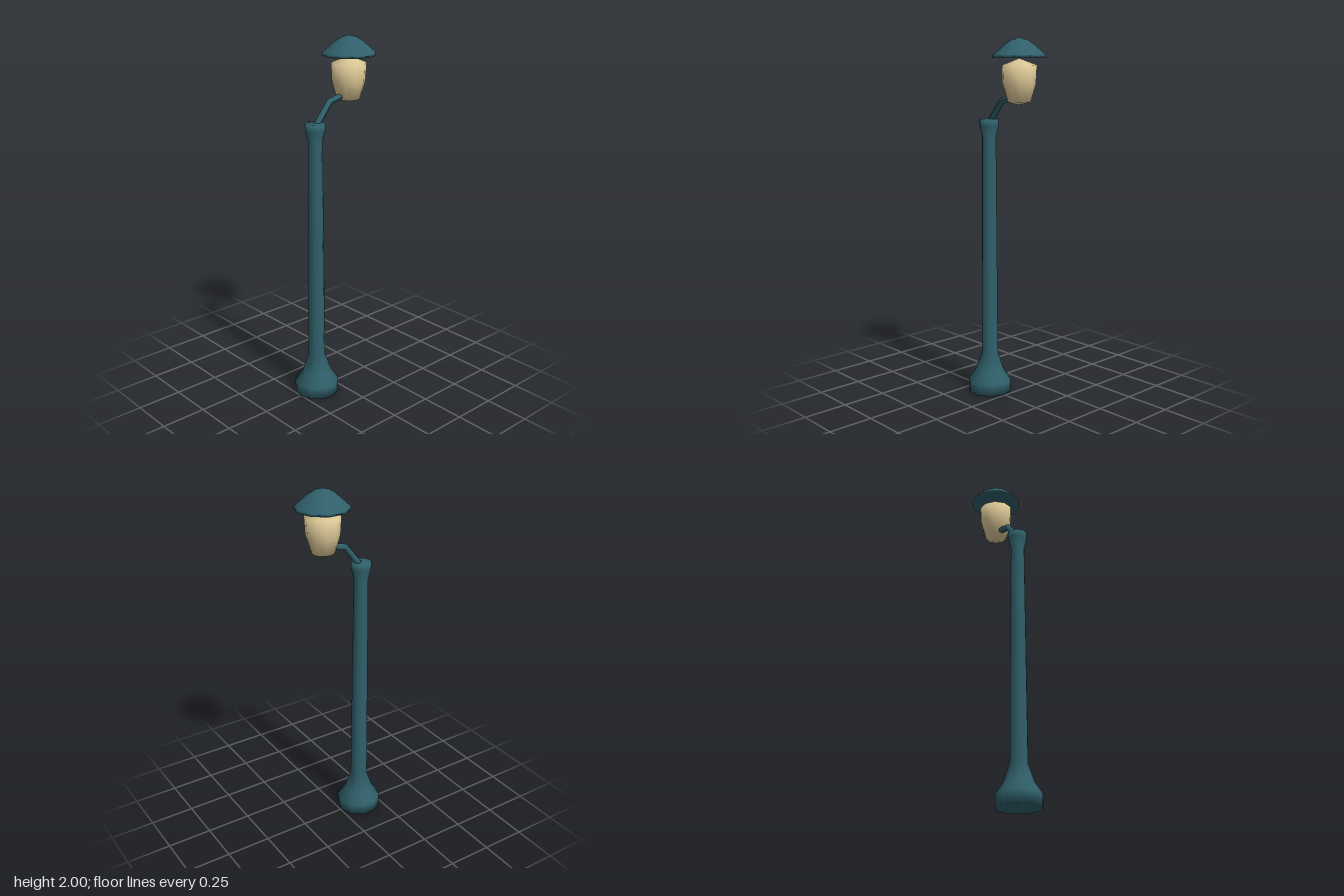
import * as THREE from 'three';

const SIDES = 10;

// Ten-sided turned part; the profile runs from bottom axis to top axis
function turned(name, profile, material, x) {
  const points = profile.map(([r, y]) => new THREE.Vector2(r, y));
  const mesh = new THREE.Mesh(new THREE.LatheGeometry(points, SIDES, Math.PI / 2), material);
  mesh.name = name;
  mesh.position.x = x;
  return mesh;
}

// Bent rod: the rings of a cylinder are moved onto stations [x, y, tilt from vertical]
function bentArm(stations, radius, material) {
  const geometry = new THREE.CylinderGeometry(radius, radius, stations.length - 1, 8, stations.length - 1);
  const p = geometry.attributes.position;
  const half = (stations.length - 1) / 2;
  for (let i = 0; i < p.count; i++) {
    const [x, y, tilt] = stations[Math.round(p.getY(i) + half)];
    const across = p.getX(i);
    p.setXY(i, x + across * Math.cos(tilt), y - across * Math.sin(tilt));
  }
  geometry.computeVertexNormals();
  const mesh = new THREE.Mesh(geometry, material);
  mesh.name = 'arm';
  return mesh;
}

export function createModel() {
  const teal = new THREE.MeshStandardMaterial({ name: 'teal paint', color: 0x30606b });
  const cream = new THREE.MeshStandardMaterial({ name: 'cream glass', color: 0xdcc896 });
  const model = new THREE.Group();
  model.name = 'streetLamp';

  // Post with flared foot and collar
  model.add(turned('post', [
    [0, 0], [0.123, 0], [0.123, 0.065], [0.082, 0.125], [0.048, 0.225],
    [0.039, 1.47], [0.054, 1.53], [0.054, 1.567], [0, 1.567],
  ], teal, -0.13));

  // Arm from the collar into the lantern
  model.add(bentArm([
    [-0.118, 1.555, 0.7], [-0.028, 1.667, 1.05], [0.07, 1.69, 1.34],
  ], 0.018, teal));

  // Lantern glass
  model.add(turned('lanternGlass', [
    [0, 1.65], [0.062, 1.665], [0.09, 1.76], [0.095, 1.858], [0, 1.893],
  ], cream, 0.107));

  // Shade
  model.add(turned('shade', [
    [0, 1.896], [0.145, 1.896], [0.141, 1.91], [0.078, 1.966], [0.04, 1.989], [0, 2],
  ], teal, 0.107));

  return model;
}
